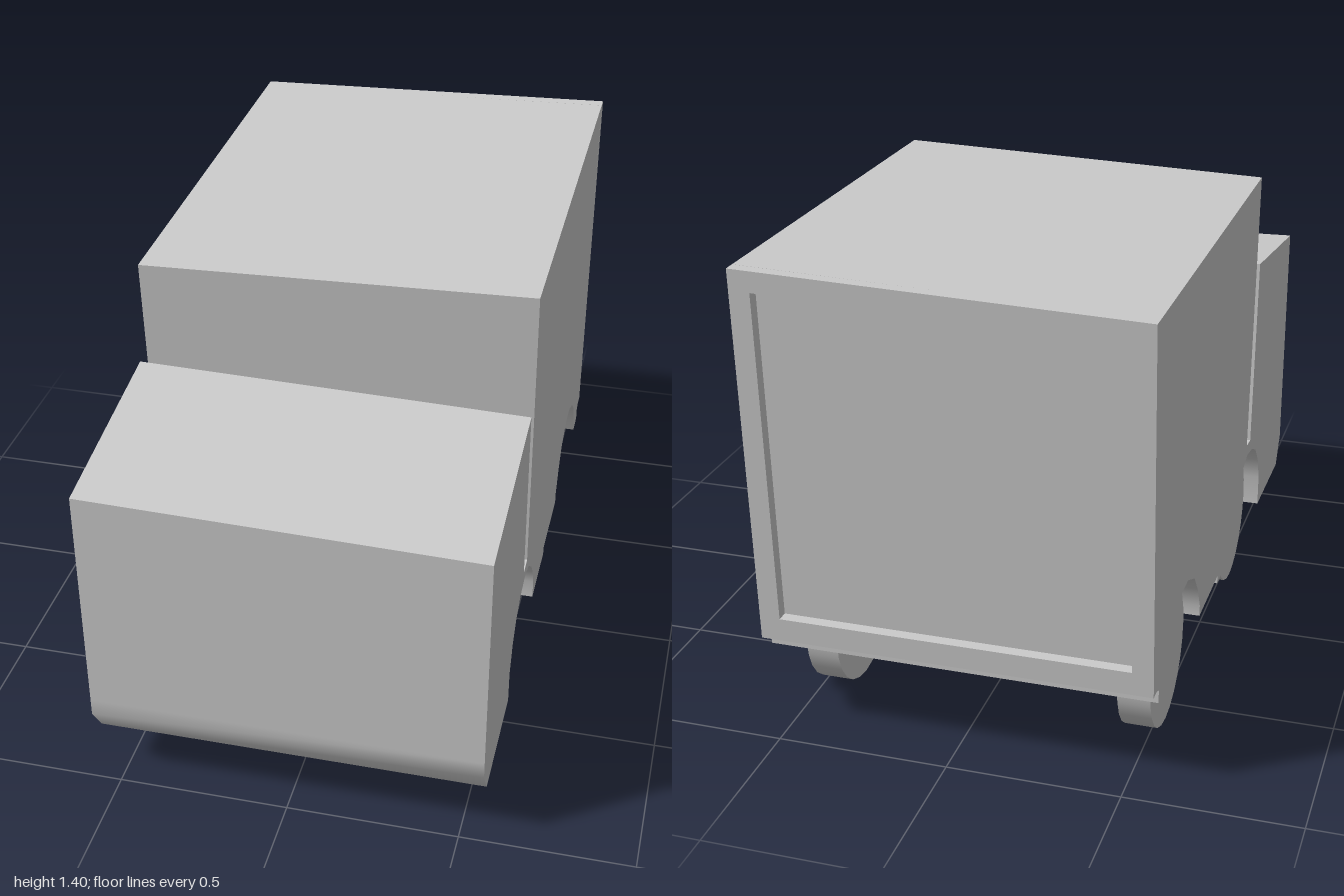
import * as THREE from 'three';
import { toCreasedNormals } from 'three/addons/utils/BufferGeometryUtils.js';

const X0 = -0.57, X1 = 0.565, WIDTH = X1 - X0;
const REAR_Z = -0.94, REAR_Y = 0.285, ROOF_Y = 1.38, INSET = 0.035;
const LEAN = 0.06 / (ROOF_Y - REAR_Y); // backward lean of the rear wall
const BOX_TILT = 0.031, CAB_TILT = -0.022; // sideways slope of the two roofs

export function createModel() {
  const group = new THREE.Group();
  const material = new THREE.MeshStandardMaterial({ color: 0xcccccc });
  const add = (name, geometry) => {
    const mesh = new THREE.Mesh(geometry, material);
    mesh.name = name;
    group.add(mesh);
    return mesh;
  };

  // Body: side profile as (z, y), with both wheel arches and the gap behind the cab
  const profile = [
    [1, 0.978], [1, 0.29], [1, 0.24], [0.94, 0.15], [0.58, 0.16],
    [0.58, 0.26], [0.545, 0.34], [0.49, 0.4], [0.42, 0.432], [0.34, 0.445],
    [0.27, 0.425], [0.2, 0.37], [0.16, 0.32], [0.13, 0.26],
    [0.13, 0.2], [-0.1, 0.2], [-0.1, 0.225], [-0.36, 0.225],
    [-0.36, 0.26], [-0.4, 0.335], [-0.45, 0.395], [-0.54, 0.435], [-0.62, 0.435],
    [-0.7, 0.4], [-0.75, 0.36], [-0.785, 0.29], [-0.81, 0.23],
    [-0.88, 0.235], [-0.88, 0.275], [REAR_Z + INSET, REAR_Y],
    [REAR_Z + INSET - 0.06, ROOF_Y], [0.375, ROOF_Y],
    [0.32, 0.485], [0.38, 0.48], [0.415, 1.058],
  ].map(([z, y]) => new THREE.Vector2(z, y));
  const body = new THREE.ExtrudeGeometry(new THREE.Shape(profile), { depth: WIDTH, bevelEnabled: false });
  body.rotateY(-Math.PI / 2).translate(X1, 0, 0);
  const p = body.attributes.position;
  for (let i = 0; i < p.count; i++) {
    if (p.getY(i) < 0.9) continue;
    const tilt = p.getZ(i) > 0.39 ? CAB_TILT : BOX_TILT;
    p.setY(i, p.getY(i) + tilt * p.getX(i));
  }
  body.computeVertexNormals();
  add('body', toCreasedNormals(body, 0.6));

  // Raised frame around the rear door
  const corners = (side, bottom, top) => [
    [X0 + side, REAR_Y + bottom], [X1 - side, REAR_Y + bottom],
    [X1 - side, ROOF_Y - top + BOX_TILT * (X1 - side)],
    [X0 + side, ROOF_Y - top + BOX_TILT * (X0 + side)],
  ].map(([x, y]) => new THREE.Vector2(x, y));
  const outline = new THREE.Shape(corners(0, 0, 0));
  outline.holes.push(new THREE.Path(corners(0.06, 0.07, 0.06)));
  const frame = new THREE.ExtrudeGeometry(outline, { depth: INSET, bevelEnabled: false });
  const f = frame.attributes.position;
  for (let i = 0; i < f.count; i++) {
    f.setZ(i, f.getZ(i) + REAR_Z - (f.getY(i) - REAR_Y) * LEAN);
  }
  frame.computeVertexNormals();
  add('rearDoorFrame', frame);

  // Wheels
  const wheel = new THREE.CylinderGeometry(0.206, 0.206, 0.095, 24).rotateZ(Math.PI / 2);
  for (const [end, z] of [['front', 0.35], ['rear', -0.58]]) {
    for (const [side, x] of [['Left', 0.4525], ['Right', -0.4775]]) {
      add(`${end}${side}Wheel`, wheel).position.set(x, 0.206, z);
    }
  }
  return group;
}
